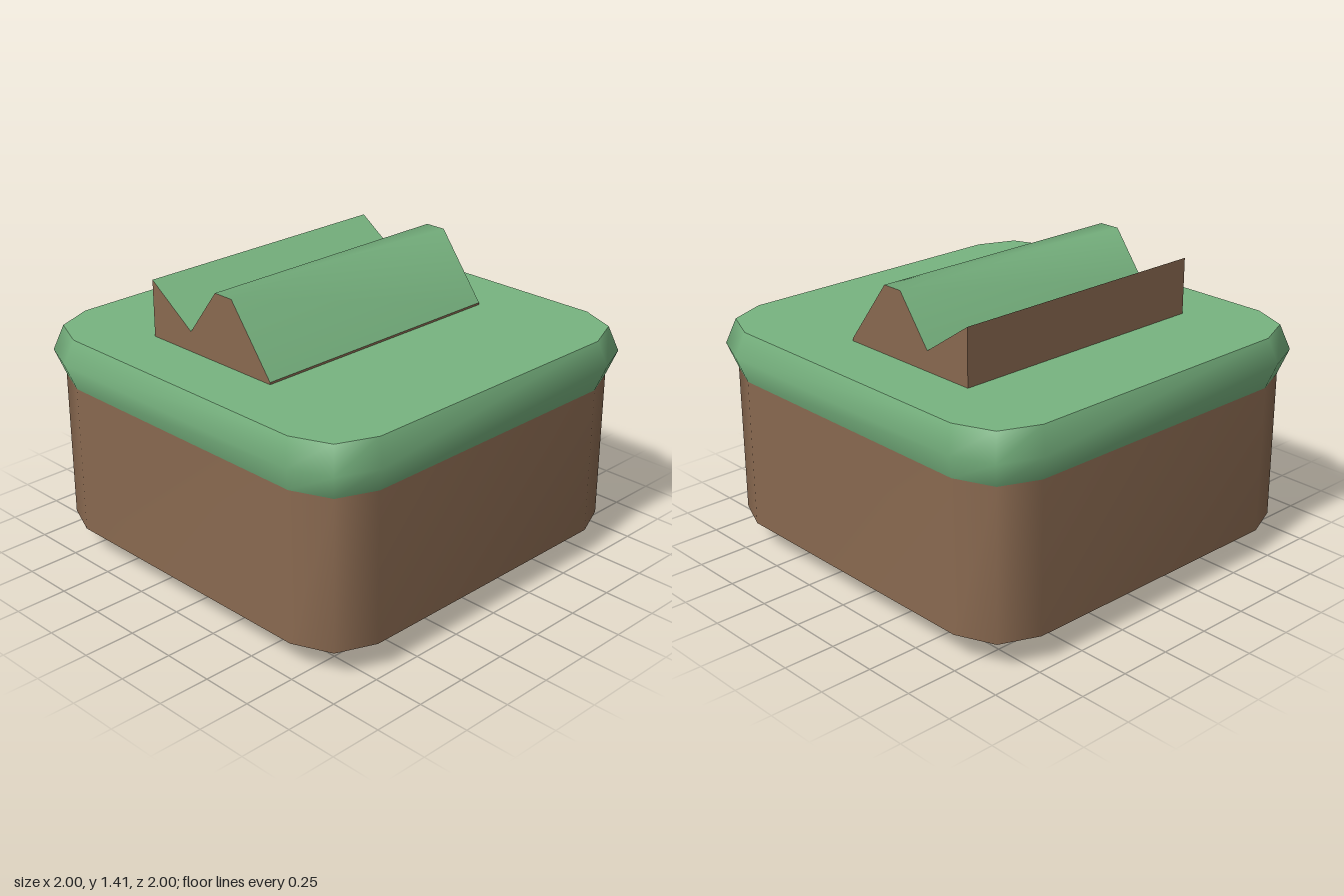
import * as THREE from 'three';

const grass = new THREE.MeshStandardMaterial({ color: 0x78b480 });
grass.name = 'grass green';
const soil = new THREE.MeshStandardMaterial({ color: 0x896950 });
soil.name = 'soil brown';

const HALF_DEPTH = 0.67;

function mesh(name, geometry, material) {
  const m = new THREE.Mesh(geometry, material);
  m.name = name;
  return m;
}

function geometryFrom(positions, index) {
  const g = new THREE.BufferGeometry();
  g.setAttribute('position', new THREE.Float32BufferAttribute(positions, 3));
  g.setIndex(index);
  g.computeVertexNormals();
  return g;
}

// Square outline with bevelled corners, counted from +x towards +z
function outline(half) {
  const corner = [[1, 0.73], [0.92, 0.92], [0.73, 1]];
  const points = [];
  for (let q = 0; q < 4; q++) {
    for (const [a, b] of corner) {
      let x = a * half, z = b * half;
      for (let k = 0; k < q; k++) [x, z] = [-z, x];
      points.push([x, z]);
    }
  }
  return points;
}

// Smooth wall through stacked outlines, each given as [half width, height]
function wall(levels) {
  const positions = [], index = [], n = 12;
  for (const [half, y] of levels) {
    for (const [x, z] of outline(half)) positions.push(x, y, z);
  }
  for (let l = 0; l < levels.length - 1; l++) {
    for (let i = 0; i < n; i++) {
      const a = l * n + i, b = l * n + (i + 1) % n;
      index.push(a, a + n, b, b, a + n, b + n);
    }
  }
  return geometryFrom(positions, index);
}

// Flat cap facing up or down
function cap(half, y, up) {
  const positions = [0, y, 0], index = [];
  for (const [x, z] of outline(half)) positions.push(x, y, z);
  for (let i = 0; i < 12; i++) {
    const a = i + 1, b = (i + 1) % 12 + 1;
    index.push(0, up ? b : a, up ? a : b);
  }
  return geometryFrom(positions, index);
}

// Surface swept along z from a profile running clockwise around its solid
function strip(profile) {
  const positions = [], index = [];
  profile.forEach(([x, y], i) => {
    positions.push(x, y, -HALF_DEPTH, x, y, HALF_DEPTH);
    if (i < profile.length - 1) {
      const a = i * 2;
      index.push(a, a + 1, a + 2, a + 2, a + 1, a + 3);
    }
  });
  return geometryFrom(positions, index);
}

// Front and back end faces of a swept profile
function addEnds(group, profile, name) {
  for (const side of [1, -1]) {
    const shape = new THREE.Shape(profile.map(([x, y]) => new THREE.Vector2(x * side, y)));
    const g = new THREE.ShapeGeometry(shape);
    if (side < 0) g.rotateY(Math.PI);
    g.translate(0, 0, side * HALF_DEPTH);
    group.add(mesh(name + (side > 0 ? 'Front' : 'Back'), g, soil));
  }
}

export function createModel() {
  const model = new THREE.Group();
  model.name = 'terrainBlock';

  // Soil block
  model.add(mesh('soilWall', wall([[0.96, 0.14], [0.96, 0.86]]), soil));
  model.add(mesh('soilBottom', cap(0.96, 0.14, false), soil));

  // Bulging grass layer
  model.add(mesh('grassRim', wall([[0.96, 0.86], [1, 0.98], [0.96, 1.1]]), grass));
  model.add(mesh('grassTop', cap(0.96, 1.1, true), grass));

  // Ridge: bare cliff on one side, grassy slopes above
  const ridge = new THREE.Group();
  ridge.name = 'ridge';
  const profile = [[-0.48, 1.1], [-0.48, 1.37], [-0.225, 1.195], [-0.055, 1.42],
    [0.05, 1.42], [0.285, 1.11], [0.285, 1.1]];
  ridge.add(mesh('ridgeCliff', strip(profile.slice(0, 2)), soil));
  ridge.add(mesh('lowSlope', strip(profile.slice(1, 3)), grass));
  ridge.add(mesh('highSlope', strip(profile.slice(2, 6)), grass));
  ridge.add(mesh('ridgeFoot', strip(profile.slice(5)), soil));
  addEnds(ridge, profile, 'ridgeEnd');
  model.add(ridge);

  // Jagged soil keels underneath
  const keels = {
    rightKeel: [[-0.485, 0.14], [-0.53, 0.055], [-0.7, 0.14]],
    leftKeel: [[0.75, 0.14], [0.615, 0.005], [0.55, 0.07], [0.52, 0.055], [0.48, 0.14]],
  };
  for (const [name, points] of Object.entries(keels)) {
    const keel = new THREE.Group();
    keel.name = name;
    for (let i = 0; i < points.length - 1; i++) {
      keel.add(mesh('keelFace', strip(points.slice(i, i + 2)), soil));
    }
    addEnds(keel, points, 'keelEnd');
    model.add(keel);
  }

  return model;
}
